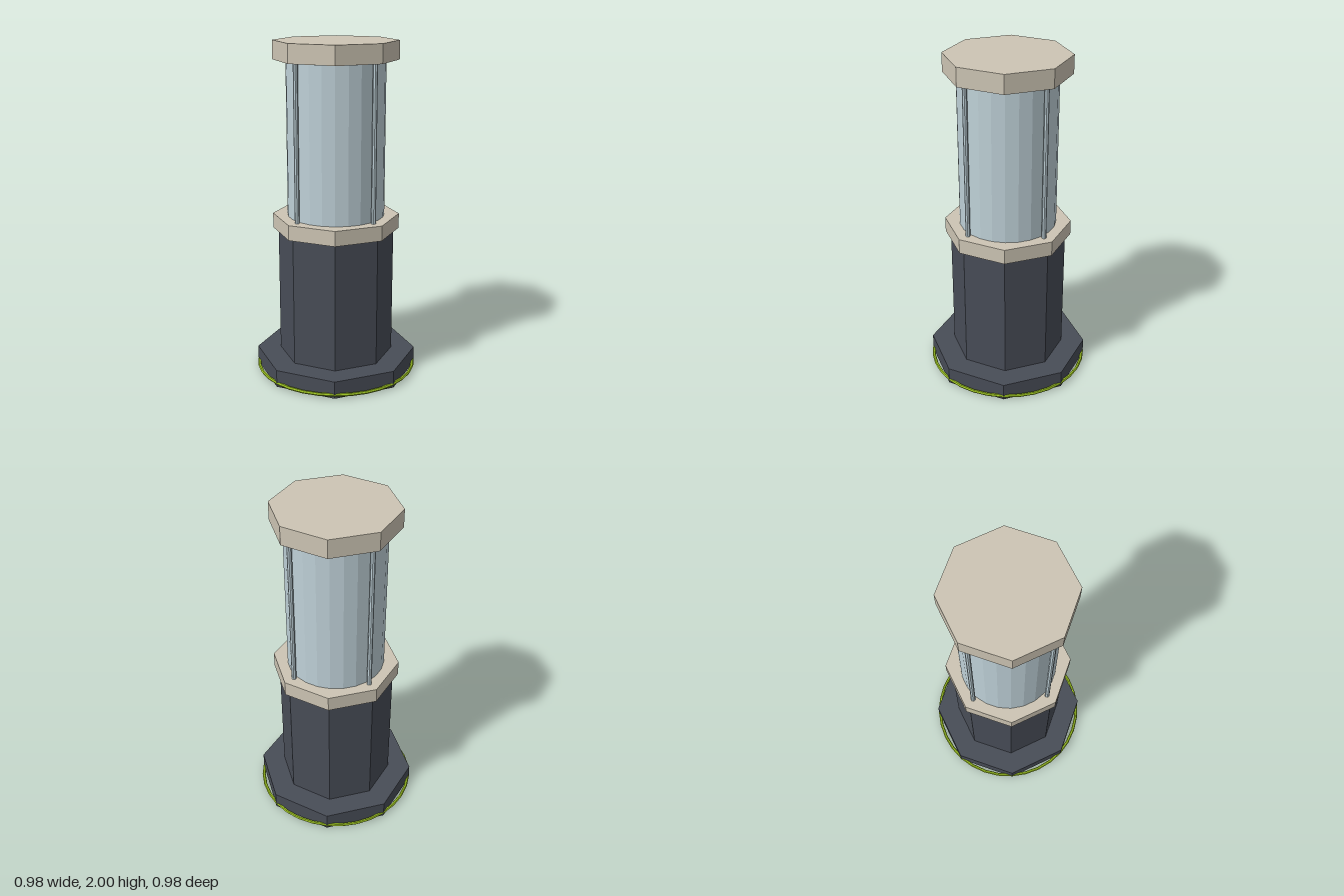
import * as THREE from 'three';

const flat = (name, color) => {
  const m = new THREE.MeshStandardMaterial({ color, flatShading: true });
  m.name = name;
  return m;
};

export function createModel() {
  const slate = flat('slate', 0x484d57);
  const stone = flat('stone', 0xcdc5b4);
  const glass = flat('paleGlass', 0xbfd1d8);
  const lime = flat('lime', 0x9dc422);

  const model = new THREE.Group();
  model.name = 'bollardLamp';

  // Upright prism between two heights
  const prism = (name, material, radius, y0, y1, sides = 8, x = 0, z = 0) => {
    const mesh = new THREE.Mesh(new THREE.CylinderGeometry(radius, radius, y1 - y0, sides), material);
    mesh.name = name;
    mesh.position.set(x, (y0 + y1) / 2, z);
    model.add(mesh);
    return mesh;
  };

  // Octagonal body, one vertex on each axis
  prism('base', slate, 0.488, 0, 0.105);
  prism('shaft', slate, 0.346, 0.105, 0.885);
  prism('collar', stone, 0.378, 0.885, 0.975);
  prism('cap', stone, 0.365, 1.89, 2);

  // Lantern cylinder
  prism('lantern', glass, 0.29, 0.975, 1.884, 24);

  // Four corner rods on the diagonals
  for (let i = 0; i < 4; i++) {
    const a = Math.PI / 4 + (i * Math.PI) / 2;
    prism('rod', glass, 0.014, 0.975, 1.89, 8, 0.311 * Math.sin(a), 0.311 * Math.cos(a));
  }

  // Thin ring around the foot
  const ring = new THREE.Mesh(new THREE.TorusGeometry(0.48, 0.01, 6, 32), lime);
  ring.name = 'footRing';
  ring.rotation.x = Math.PI / 2;
  ring.position.y = 0.02;
  model.add(ring);

  return model;
}
